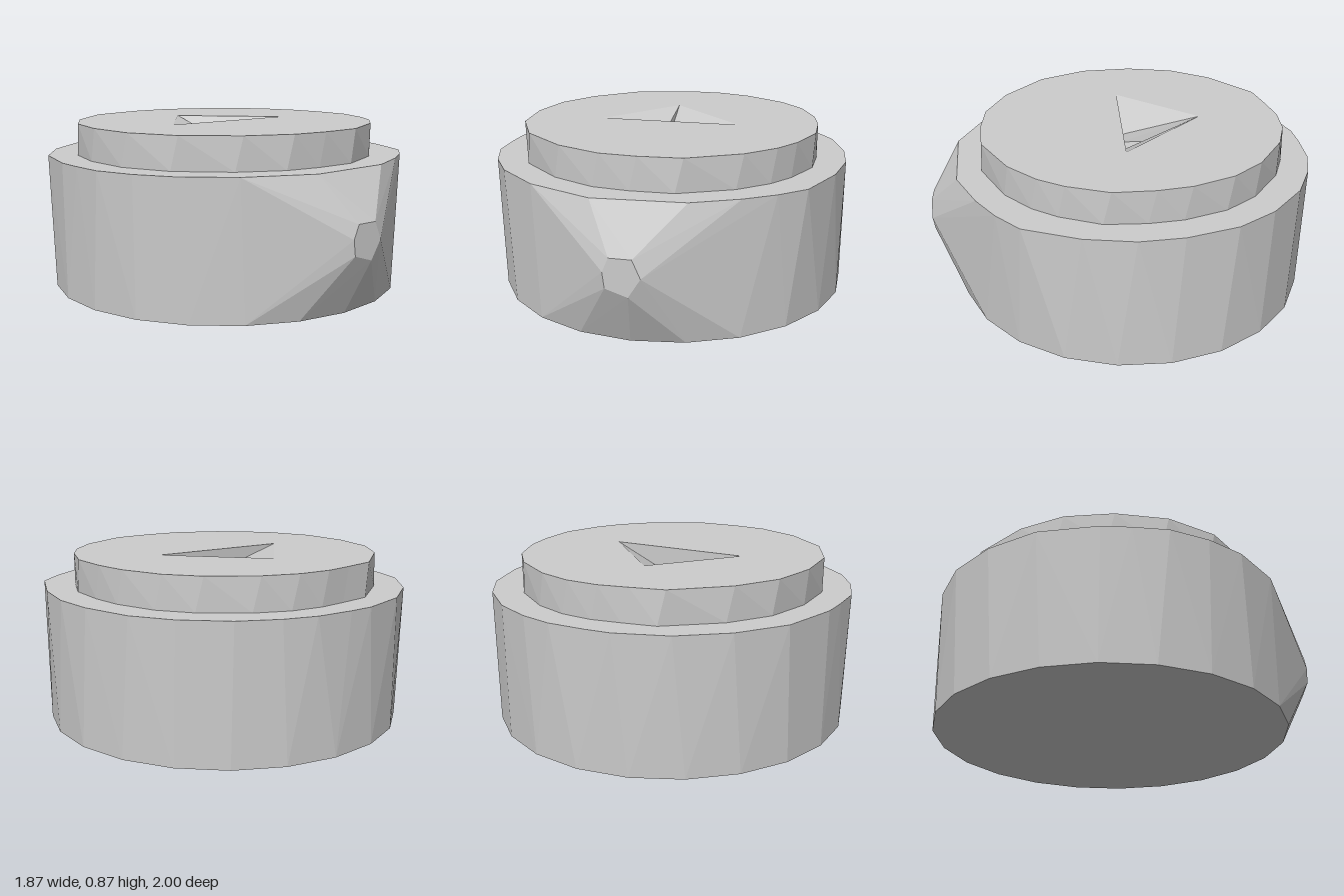
import * as THREE from 'three';
import { ConvexGeometry } from 'three/addons/geometries/ConvexGeometry.js';

const BASE_TOP = 0.7, CAP_TOP = 0.87, CENTRE_Z = -0.07;

const baseRim = [
  [-0.2, -0.99], [-0.07, -1], [0.13, -1], [0.3, -0.96], [0.5, -0.87], [0.7, -0.7],
  [0.83, -0.51], [0.91, -0.25], [0.93, -0.03], [0.89, 0.22], [0.78, 0.5], [0.65, 0.62],
  [0.5, 0.72], [0.27, 0.83], [-0.19, 0.86], [-0.53, 0.71], [-0.75, 0.51], [-0.86, 0.33],
  [-0.93, 0.13], [-0.935, -0.05], [-0.93, -0.2], [-0.85, -0.5], [-0.68, -0.73], [-0.46, -0.9],
];
const capRim = [
  [-0.37, -0.79], [-0.2, -0.83], [-0.05, -0.86], [0.12, -0.855], [0.3, -0.8], [0.52, -0.66],
  [0.65, -0.51], [0.74, -0.3], [0.77, -0.13], [0.775, 0.08], [0.7, 0.29], [0.62, 0.42],
  [0.48, 0.56], [0.22, 0.7], [0, 0.715], [-0.19, 0.7], [-0.42, 0.6], [-0.65, 0.4],
  [-0.77, 0.15], [-0.79, -0.12], [-0.74, -0.37], [-0.61, -0.58],
];
const noseTip = [[-0.09, 0.4], [-0.06, 0.47], [0.05, 0.47], [0.09, 0.38], [0.03, 0.285], [-0.08, 0.32]];

// Flat polygons, each given as a loop of corners, fanned into triangles
function facets(polygons) {
  const pos = [];
  for (const p of polygons)
    for (let i = 1; i < p.length - 1; i++) pos.push(...p[0], ...p[i], ...p[i + 1]);
  const g = new THREE.BufferGeometry();
  g.setAttribute('position', new THREE.Float32BufferAttribute(pos, 3));
  g.computeVertexNormals();
  return g;
}

export function createModel() {
  const group = new THREE.Group();
  const solid = new THREE.MeshStandardMaterial({ color: 0xcccccc, flatShading: true });
  const open = new THREE.MeshStandardMaterial({ color: 0xcccccc, flatShading: true, side: THREE.DoubleSide });
  const add = (name, geometry, material) => {
    const mesh = new THREE.Mesh(geometry, material);
    mesh.name = name;
    group.add(mesh);
  };

  // Faceted drum with a blunt nose at the front
  const points = baseRim.map(([x, z]) => new THREE.Vector3(x, BASE_TOP, z));
  for (let i = 0; i < 22; i++) {
    const a = (i / 22) * Math.PI * 2;
    points.push(new THREE.Vector3(Math.sin(a) * 0.93, 0, CENTRE_Z + Math.cos(a) * 0.93));
  }
  noseTip.forEach(([x, y]) => points.push(new THREE.Vector3(x, y, 1)));
  add('base', new ConvexGeometry(points), solid);

  // Cap wall, its foot turned slightly against its rim
  const turn = 0.05;
  const foot = capRim.map(([x, z]) => [
    x * Math.cos(turn) - (z - CENTRE_Z) * Math.sin(turn), BASE_TOP,
    CENTRE_Z + x * Math.sin(turn) + (z - CENTRE_Z) * Math.cos(turn),
  ]);
  const rim = capRim.map(([x, z]) => [x, CAP_TOP, z]);
  const wall = [];
  rim.forEach((r, i) => {
    const j = (i + 1) % rim.length;
    wall.push([r, rim[j], foot[i]], [rim[j], foot[j], foot[i]]);
  });
  add('capWall', facets(wall), open);

  // Cap top with a triangular opening
  const apex = [-0.05, CAP_TOP, -0.44], left = [-0.38, CAP_TOP, -0.02], right = [0.36, CAP_TOP, -0.02];
  const to2D = ([x, , z]) => new THREE.Vector2(x, -z);
  const shape = new THREE.Shape(rim.map(to2D));
  shape.holes.push(new THREE.Path([apex, left, right].map(to2D)));
  add('capTop', new THREE.ShapeGeometry(shape).rotateX(-Math.PI / 2).translate(0, CAP_TOP, 0), open);

  // Sloping arrow-shaped recess with a small flat floor
  const ledge = [-0.06, CAP_TOP - 0.1, -0.02];
  const floorA = [-0.055, CAP_TOP - 0.14, -0.02];
  const floorB = [0.05, CAP_TOP - 0.14, -0.02];
  const floorC = [-0.05, CAP_TOP - 0.14, -0.14];
  add('arrowRecess', facets([
    [apex, left, ledge],
    [apex, ledge, floorA, floorC],
    [floorC, floorA, floorB],
    [apex, floorC, floorB, right],
    [floorB, floorA, ledge, left, right],
  ]), open);

  return group;
}
